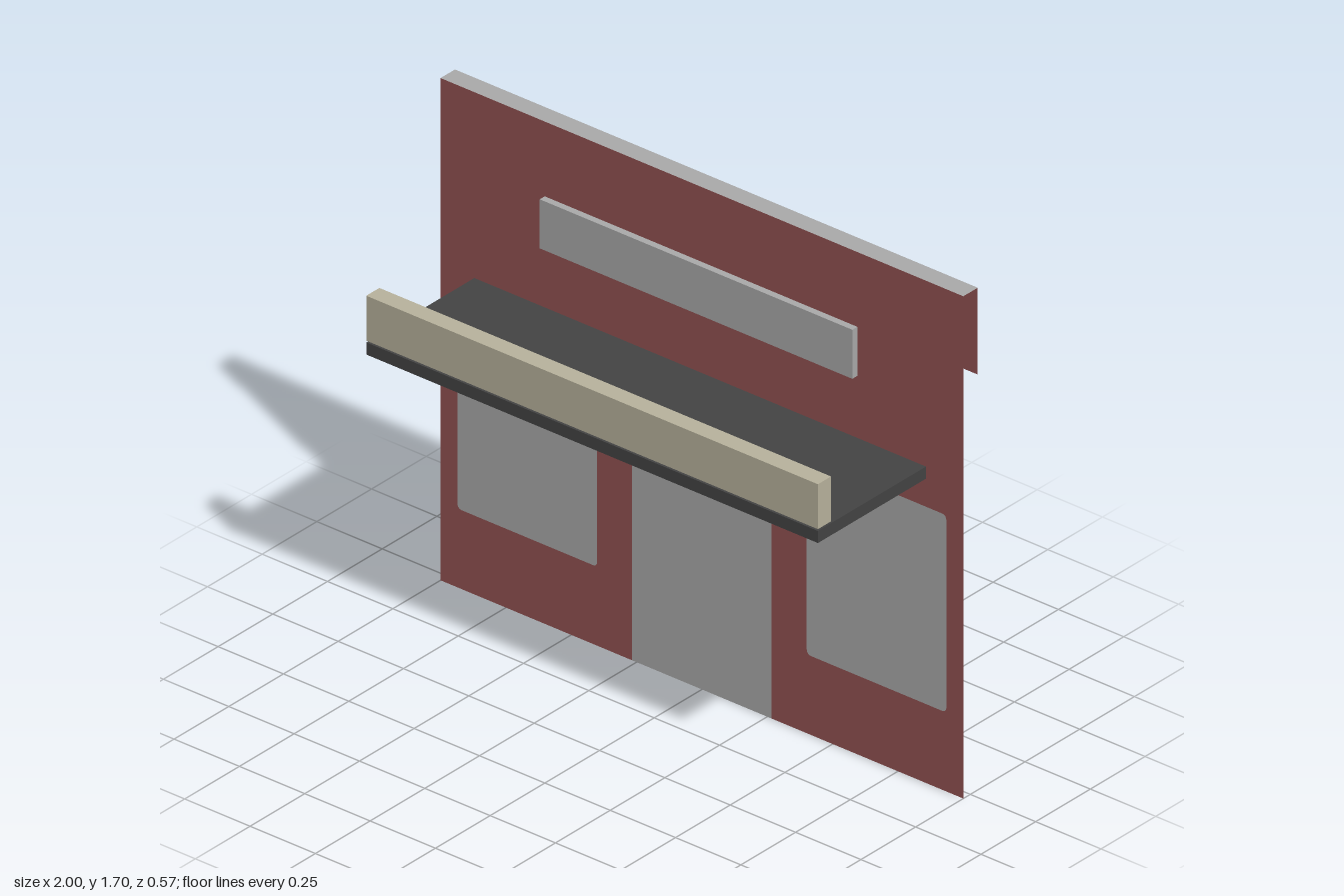
import * as THREE from 'three';

const mat = (name, color, side = THREE.FrontSide) => {
  const m = new THREE.MeshStandardMaterial({ color, side });
  m.name = name;
  return m;
};

// Traces a panel with small rounded corners; square feet when it stands on the ground
function panelPath(path, x0, x1, y0, y1, r, squareFeet = false) {
  const b = squareFeet ? 0 : r;
  path.moveTo(x0 + b, y0);
  path.lineTo(x1 - b, y0);
  if (b) path.quadraticCurveTo(x1, y0, x1, y0 + b);
  path.lineTo(x1, y1 - r);
  path.quadraticCurveTo(x1, y1, x1 - r, y1);
  path.lineTo(x0 + r, y1);
  path.quadraticCurveTo(x0, y1, x0, y1 - r);
  path.lineTo(x0, y0 + b);
  if (b) path.quadraticCurveTo(x0, y0, x0 + b, y0);
  return path;
}

export function createModel() {
  const group = new THREE.Group();
  const red = mat('brickRed', 0x935252, THREE.DoubleSide);
  const grey = mat('paleGrey', 0xaaaaaa, THREE.DoubleSide);
  const dark = mat('charcoal', 0x444444);
  const cream = mat('cream', 0xb9b39d);

  const add = (name, geometry, material, x = 0, y = 0, z = 0) => {
    const mesh = new THREE.Mesh(geometry, material);
    mesh.name = name;
    mesh.position.set(x, y, z);
    group.add(mesh);
    return mesh;
  };
  // Box given by half width and its y and z ranges
  const slab = (name, material, hw, y0, y1, z0, z1) =>
    add(name, new THREE.BoxGeometry(hw * 2, y1 - y0, z1 - z0), material,
      0, (y0 + y1) / 2, (z0 + z1) / 2);

  const wallZ = -0.218, backZ = -0.284, top = 1.7;
  const doorW = 0.267, doorH = 1.0, r = 0.018;

  // Facade sheet with a doorway notch and window openings
  const wall = new THREE.Shape();
  wall.moveTo(-1, 0);
  wall.lineTo(-doorW, 0);
  wall.lineTo(-doorW, doorH - r);
  wall.quadraticCurveTo(-doorW, doorH, -doorW + r, doorH);
  wall.lineTo(doorW - r, doorH);
  wall.quadraticCurveTo(doorW, doorH, doorW, doorH - r);
  wall.lineTo(doorW, 0);
  wall.lineTo(1, 0);
  wall.lineTo(1, top);
  wall.lineTo(-1, top);
  wall.closePath();

  // Panes fill the openings in the same plane
  const windows = [['rightWindow', -0.935, -0.401], ['leftWindow', 0.401, 0.935]];
  for (const [name, x0, x1] of windows) {
    wall.holes.push(panelPath(new THREE.Path(), x0, x1, 0.267, 0.935, r));
    const pane = panelPath(new THREE.Shape(), x0, x1, 0.267, 0.935, r);
    add(name, new THREE.ShapeGeometry(pane), grey, 0, 0, wallZ);
  }
  const door = panelPath(new THREE.Shape(), -doorW, doorW, 0, doorH, r, true);
  add('door', new THREE.ShapeGeometry(door), grey, 0, 0, wallZ);
  add('facadeWall', new THREE.ShapeGeometry(wall), red, 0, 0, wallZ);

  // Parapet: flat cap and a back flap, open at the ends and below
  const flapH = 0.294;
  const cap = add('parapetCap', new THREE.PlaneGeometry(2, wallZ - backZ), grey,
    0, top, (wallZ + backZ) / 2);
  cap.rotation.x = -Math.PI / 2;
  const flap = add('parapetBack', new THREE.PlaneGeometry(2, flapH), red,
    0, top - flapH / 2, backZ);
  flap.rotation.y = Math.PI;

  // Sign board, canopy and its raised front fascia
  slab('signBoard', grey, 0.598, 1.284, 1.45, -0.214, -0.191);
  slab('canopy', dark, 0.864, 1.036, 1.077, -0.21, 0.284);
  slab('canopyFascia', cream, 0.864, 1.083, 1.235, 0.224, 0.284);

  return group;
}
